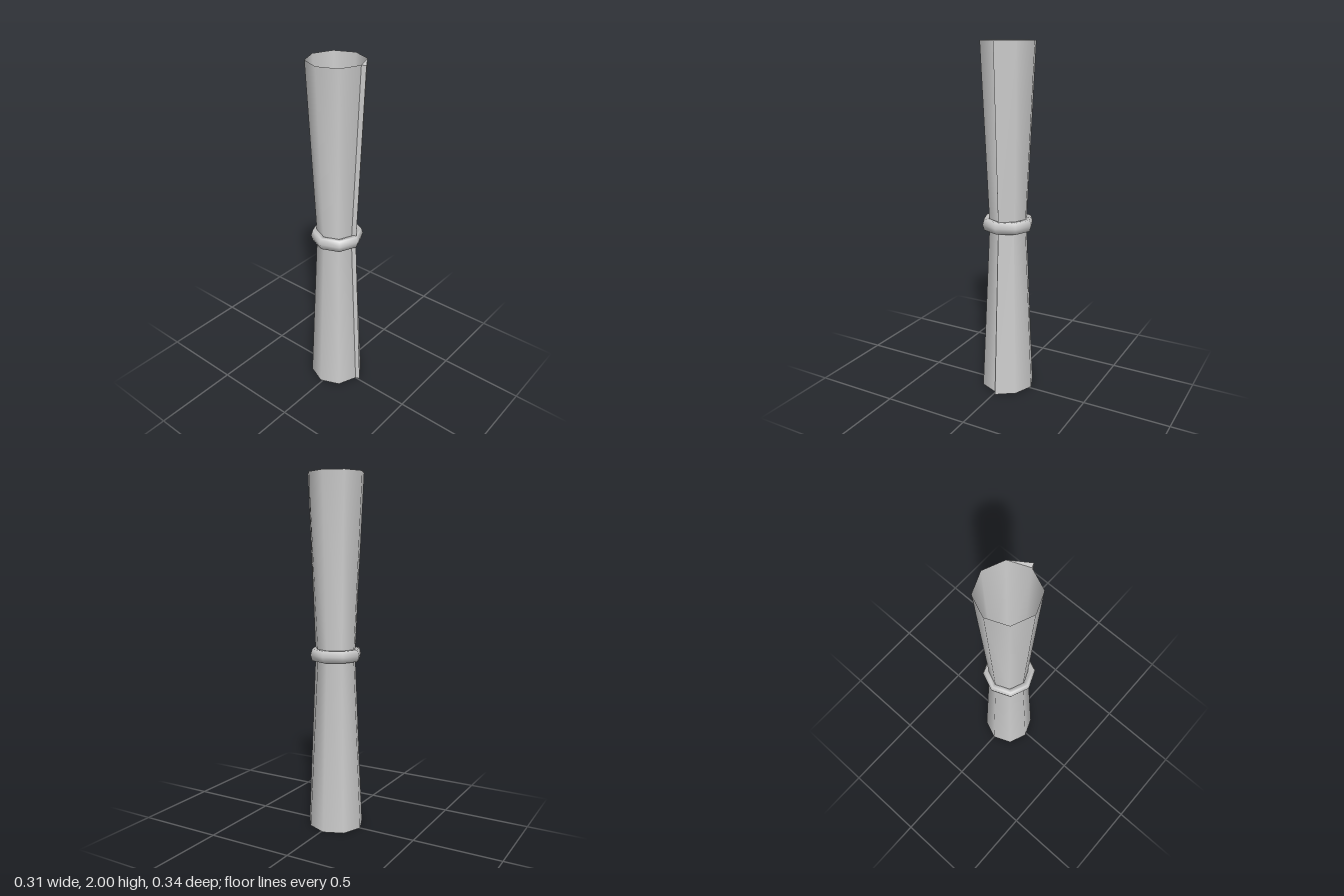
import * as THREE from 'three';

const SIDES = 8;
const END_R = 0.156, WAIST_R = 0.109;
const AXIS_Z = -0.013;

function createFlapGeometry() {
  // Three-point section at each level: seam, loose edge, where it joins the roll
  const levels = [[0, END_R], [1, WAIST_R], [2, END_R]].map(([y, r]) => [
    new THREE.Vector3(0, y, r),
    new THREE.Vector3(0.01, y, r + 0.024),
    new THREE.Vector3(r * Math.SQRT1_2, y, r * Math.SQRT1_2),
  ]);
  const points = [];
  for (let i = 0; i < 2; i++) {
    const low = levels[i], high = levels[i + 1];
    for (let j = 0; j < 2; j++) {
      points.push(low[j], low[j + 1], high[j + 1], low[j], high[j + 1], high[j]);
    }
  }
  // Thin end faces
  const [bottom, , top] = levels;
  points.push(bottom[0], bottom[2], bottom[1], top[0], top[1], top[2]);
  const geometry = new THREE.BufferGeometry().setFromPoints(points);
  geometry.computeVertexNormals();
  return geometry;
}

export function createModel() {
  const group = new THREE.Group();
  const paper = new THREE.MeshStandardMaterial({ color: 0xcccccc, side: THREE.DoubleSide });

  const add = (name, geometry) => {
    const mesh = new THREE.Mesh(geometry, paper);
    mesh.name = name;
    mesh.position.z = AXIS_Z;
    group.add(mesh);
    return mesh;
  };

  // Open roll, pinched at the middle
  const rollProfile = [[END_R, 0], [WAIST_R, 1], [END_R, 2]].map(p => new THREE.Vector2(...p));
  add('rolledSheet', new THREE.LatheGeometry(rollProfile, SIDES));

  // Loose edge of the sheet along the front
  add('sheetFlap', createFlapGeometry());

  // Band tied round the waist, six-sided in section
  const bandProfile = [
    [0.101, 0], [0.112, -0.033], [0.138, -0.033], [0.148, 0],
    [0.138, 0.033], [0.112, 0.033], [0.101, 0],
  ].map(p => new THREE.Vector2(...p));
  const band = add('band', new THREE.LatheGeometry(bandProfile, SIDES));
  band.position.set(0, 1.003, -0.008);

  return group;
}
